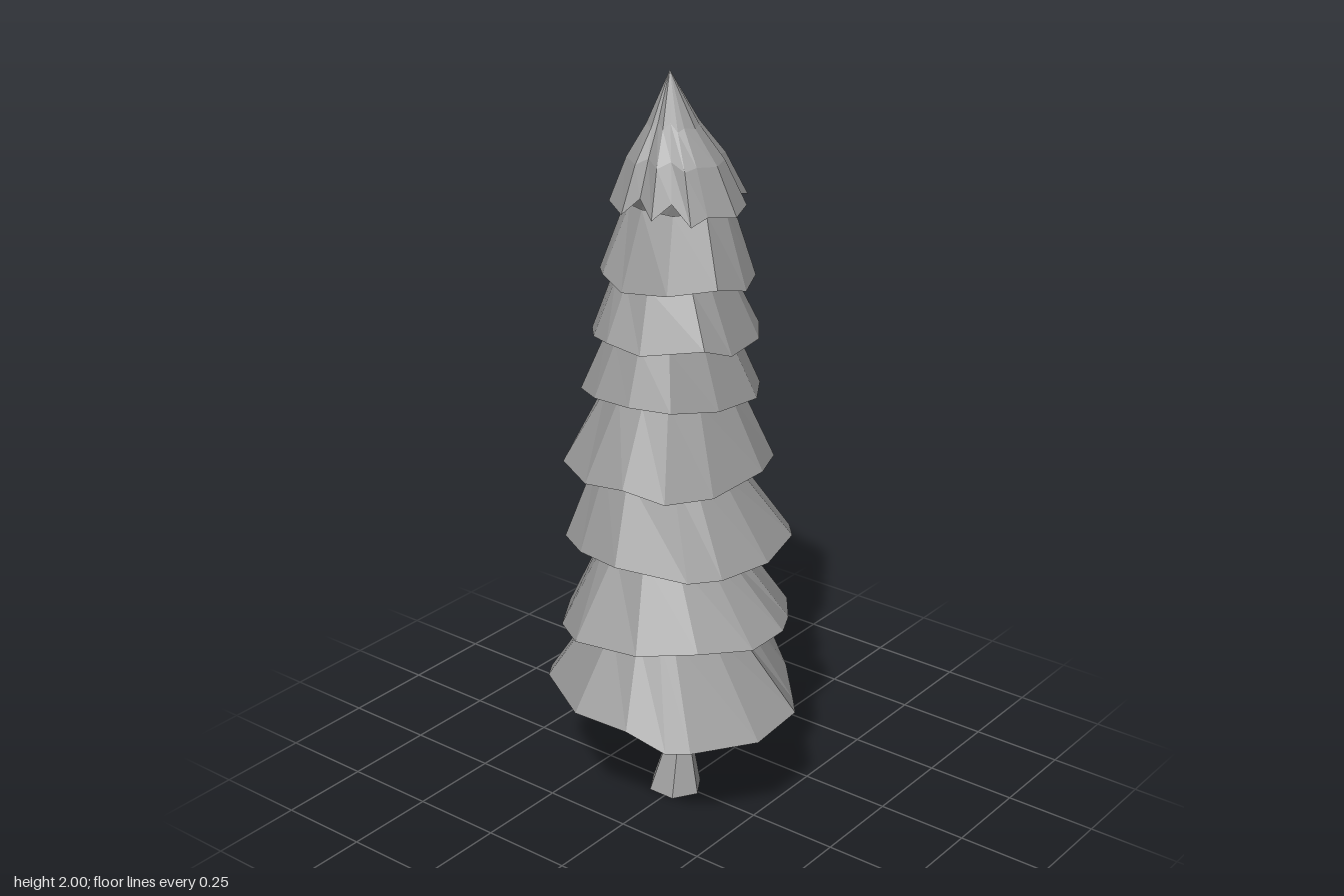
import * as THREE from 'three';

const foliage = new THREE.MeshStandardMaterial({ color: 0x9a9a9a, flatShading: true, side: THREE.DoubleSide });
const bark = new THREE.MeshStandardMaterial({ color: 0x9a9a9a, flatShading: true, side: THREE.DoubleSide });

// Small seeded generator, values in -1..1
function seeded(seed) {
  let s = seed * 7919 + 13;
  return () => {
    s = (s * 16807) % 2147483647;
    return (s / 2147483647) * 2 - 1;
  };
}

// Faceted skin through rings of equal length, listed from bottom to top
function loft(rings) {
  const n = rings[0].length;
  const index = [];
  for (let r = 0; r < rings.length - 1; r++) {
    for (let i = 0; i < n; i++) {
      const a = r * n + i, b = r * n + ((i + 1) % n);
      index.push(a, a + n, b + n, a, b + n, b);
    }
  }
  const geometry = new THREE.BufferGeometry();
  geometry.setAttribute('position', new THREE.Float32BufferAttribute(rings.flat(2), 3));
  geometry.setIndex(index);
  geometry.computeVertexNormals();
  return geometry;
}

// Ellipse point inside the bounds [xMin, xMax, zMin, zMax]
function onOval([x0, x1, z0, z1], angle, y, scale = 1) {
  return [
    (x0 + x1) / 2 + Math.cos(angle) * scale * (x1 - x0) / 2,
    y,
    (z0 + z1) / 2 + Math.sin(angle) * scale * (z1 - z0) / 2,
  ];
}

function named(name, geometry, material) {
  const mesh = new THREE.Mesh(geometry, material);
  mesh.name = name;
  return mesh;
}

export function createModel() {
  const tree = new THREE.Group();
  tree.name = 'pineTree';

  // Crooked, open-ended trunk with a spread foot: [y, bounds]
  const trunkRings = [
    [0, [-0.09, 0.065, -0.065, 0.08]],
    [0.115, [-0.06, 0.025, -0.056, 0.026]],
    [0.2, [-0.067, 0.017, -0.033, 0.059]],
    [0.325, [-0.067, 0.017, -0.036, 0.059]],
  ].map(([y, b]) => Array.from({ length: 6 }, (_, i) => onOval(b, (i * Math.PI) / 3, y)));
  tree.add(named('trunk', loft(trunkRings), bark));

  // Two lowest branch skirts with uneven rims, then neck height and bounds
  const lowSkirts = [
    [[
      [0.33, 0.3, 0.095], [0.227, 0.3, 0.25], [0.177, 0.3, 0.29], [0.08, 0.35, 0.33], [-0.08, 0.355, 0.343],
      [-0.276, 0.35, 0.223], [-0.34, 0.32, 0.137], [-0.305, 0.35, -0.165], [-0.254, 0.35, -0.25],
      [-0.108, 0.35, -0.33], [-0.03, 0.345, -0.343], [0.07, 0.35, -0.33], [0.185, 0.34, -0.23],
      [0.27, 0.3, -0.145], [0.34, 0.325, -0.055],
    ], 0.56, [-0.2, 0.17, -0.16, 0.22]],
    [[
      [0.305, 0.56, 0.09], [0.22, 0.57, 0.21], [0.09, 0.56, 0.3], [-0.09, 0.555, 0.325], [-0.2, 0.54, 0.25],
      [-0.285, 0.53, 0.12], [-0.31, 0.535, -0.03], [-0.295, 0.55, -0.125], [-0.22, 0.56, -0.23],
      [-0.09, 0.57, -0.305], [0.07, 0.56, -0.295], [0.18, 0.54, -0.235], [0.28, 0.57, -0.1], [0.32, 0.575, -0.02],
    ], 0.775, [-0.18, 0.155, -0.14, 0.205]],
  ];
  lowSkirts.forEach(([rim, neckY, neckBounds], t) => {
    const neck = rim.map(([x, , z]) => onOval(neckBounds, Math.atan2(z, x), neckY));
    tree.add(named(`branchSkirt${t + 1}`, loft([rim, neck]), foliage));
  });

  // Upper skirts: rim height, rim bounds, neck height, neck bounds, sides
  const tiers = [
    [0.775, [-0.295, 0.29, -0.3, 0.29], 0.995, [-0.215, 0.155, -0.14, 0.19], 13],
    [0.985, [-0.3, 0.24, -0.27, 0.285], 1.195, [-0.18, 0.15, -0.165, 0.19], 13],
    [1.19, [-0.245, 0.2, -0.23, 0.24], 1.34, [-0.175, 0.14, -0.15, 0.185], 12],
    [1.34, [-0.23, 0.2, -0.215, 0.22], 1.49, [-0.165, 0.13, -0.14, 0.16], 12],
    [1.49, [-0.21, 0.195, -0.185, 0.19], 1.67, [-0.145, 0.125, -0.13, 0.115], 12],
  ];
  tiers.forEach(([rimY, rimBounds, neckY, neckBounds, sides], t) => {
    const rand = seeded(t + 12);
    const rim = [], neck = [];
    for (let i = 0; i < sides; i++) {
      const angle = ((i + 0.25 * rand()) / sides) * Math.PI * 2 + t * 0.4;
      rim.push(onOval(rimBounds, angle, rimY + 0.015 * rand(), 1.01 + 0.025 * rand()));
      neck.push(onOval(neckBounds, angle, neckY + 0.006 * rand()));
    }
    tree.add(named(`branchSkirt${t + 3}`, loft([rim, neck]), foliage));
  });

  // Pointed crown with full shoulders, uneven tips and folds around the edge
  const crownRim = [
    [0.165, 1.66, -0.01], [0.13, 1.67, 0.06], [0.11, 1.65, 0.1], [0.055, 1.7, 0.105], [0.02, 1.66, 0.14],
    [-0.035, 1.7, 0.115], [-0.07, 1.66, 0.145], [-0.15, 1.67, 0.095], [-0.13, 1.71, 0.045], [-0.17, 1.69, 0.02],
    [-0.165, 1.66, -0.07], [-0.14, 1.66, -0.12], [-0.085, 1.69, -0.13], [-0.01, 1.66, -0.177],
    [0.088, 1.67, -0.16], [0.11, 1.69, -0.1], [0.14, 1.67, -0.085],
  ];
  const apex = [-0.025, 2, 0.01];
  const crownRing = (y, scale) => crownRim.map(([x, rimY, z]) => [
    apex[0] + (x - apex[0]) * scale, y + (rimY - 1.675) * 0.4, apex[2] + (z - apex[2]) * scale,
  ]);
  const crown = [crownRim, crownRing(1.785, 0.71), crownRing(1.87, 0.38), crownRim.map(() => apex)];
  tree.add(named('crown', loft(crown), foliage));

  return tree;
}
